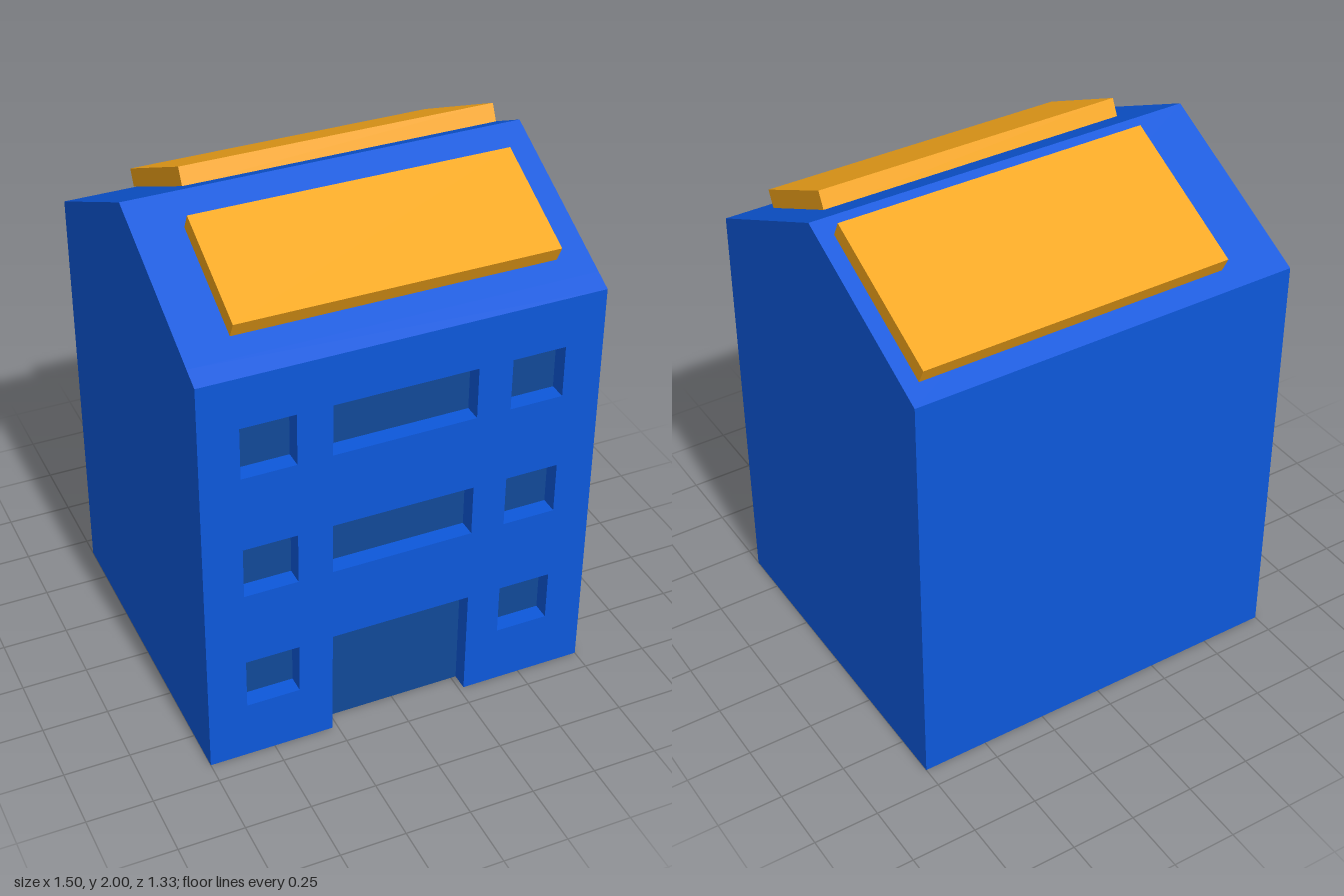
import * as THREE from 'three';

const W = 1.5, HALF_D = 0.667, EAVE = 1.637, RIDGE = 1.97, RECESS = 0.067;
const SLOPE = (RIDGE - EAVE) / HALF_D;
const INNER_Z = HALF_D - RECESS;

const material = (color) => new THREE.MeshStandardMaterial({ color, flatShading: true });

function rectPath(x0, y0, x1, y1) {
  return new THREE.Path([[x0, y0], [x1, y0], [x1, y1], [x0, y1]].map(([x, y]) => new THREE.Vector2(x, y)));
}

function polygon(points) {
  return new THREE.Shape(points.map(([x, y]) => new THREE.Vector2(x, y)));
}

export function createModel() {
  const group = new THREE.Group();
  const blue = material(0x0d58db), darkBlue = material(0x114998), orange = material(0xf5a61a);

  const add = (name, geometry, mat, x = 0, y = 0, z = 0) => {
    const mesh = new THREE.Mesh(geometry, mat);
    mesh.name = name;
    mesh.position.set(x, y, z);
    group.add(mesh);
    return mesh;
  };

  // Gabled body behind the front wall
  const profile = polygon([
    [-HALF_D, 0], [INNER_Z, 0], [INNER_Z, EAVE + SLOPE * RECESS], [0, RIDGE], [-HALF_D, EAVE],
  ]);
  const body = new THREE.ExtrudeGeometry(profile, { depth: W, bevelEnabled: false });
  body.rotateY(-Math.PI / 2).translate(W / 2, 0, 0);
  add('body', body, blue);

  // Front wall with a doorway notch and window openings
  const doorHalf = 0.27, doorTop = 0.44;
  const wall = polygon([
    [-W / 2, 0], [-doorHalf, 0], [-doorHalf, doorTop], [doorHalf, doorTop],
    [doorHalf, 0], [W / 2, 0], [W / 2, EAVE], [-W / 2, EAVE],
  ]);
  const pane = (name, x0, y0, x1, y1) =>
    add(name, new THREE.PlaneGeometry(x1 - x0, y1 - y0), darkBlue, (x0 + x1) / 2, (y0 + y1) / 2, INNER_Z + 0.001);

  [0.235, 0.737, 1.238].forEach((y, floor) => {
    [[-0.603, -0.4], [-doorHalf, doorHalf], [0.4, 0.603]].forEach(([x0, x1], column) => {
      if (floor === 0 && column === 1) return;
      wall.holes.push(rectPath(x0, y, x1, y + 0.203));
      pane('window', x0, y, x1, y + 0.203);
    });
  });
  pane('door', -doorHalf, 0, doorHalf, doorTop);

  // Raise the wall's back top edge so that it follows the roof slope
  const wallGeometry = new THREE.ExtrudeGeometry(wall, { depth: RECESS, bevelEnabled: false });
  const p = wallGeometry.attributes.position;
  for (let i = 0; i < p.count; i++) {
    if (p.getY(i) > EAVE - 0.01 && p.getZ(i) < 0.01) p.setY(i, EAVE + SLOPE * RECESS);
  }
  wallGeometry.computeVertexNormals();
  add('frontWall', wallGeometry, blue, 0, 0, INNER_Z);

  // Tilted roof panels
  const tilt = Math.atan(SLOPE);
  const panels = [
    ['frontRoofPanel', 0.44, 0.025, 1.838, 0.349, tilt],
    ['backRoofPanel', 0.593, 0.095, 1.84, -0.349, -tilt],
  ];
  for (const [name, length, x, y, z, angle] of panels) {
    add(name, new THREE.BoxGeometry(1.197, 0.067, length), orange, x, y, z).rotation.x = angle;
  }

  return group;
}
